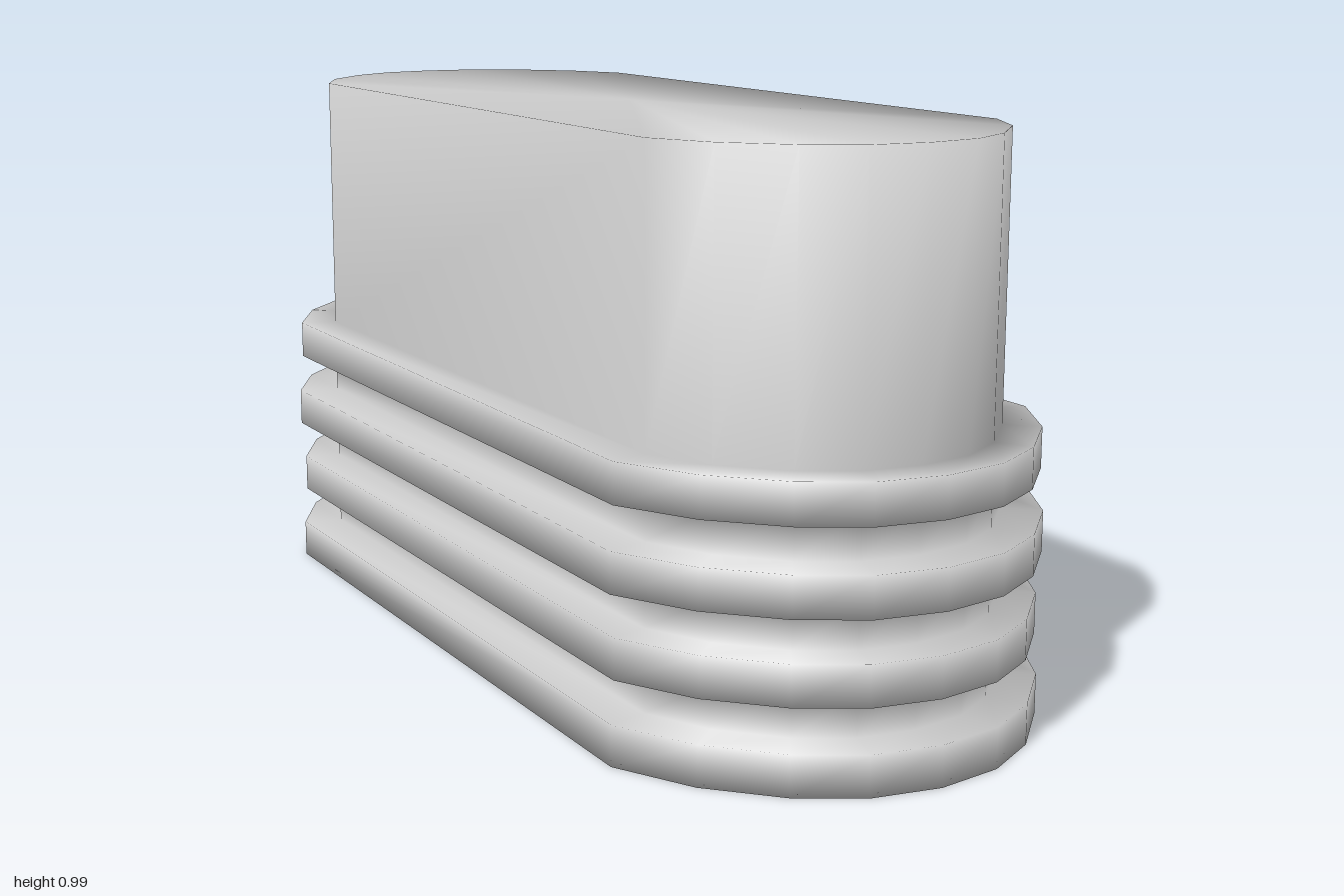
import * as THREE from 'three';

// Quarter outlines (x, z) from the straight side to the rounded tip
const CORE = [[0.336, 0.656], [0.28, 0.767], [0.19, 0.859], [0.101, 0.91], [0, 0.925]];
const RIB = [[0.409, 0.677], [0.333, 0.815], [0.229, 0.92], [0.122, 0.98], [0, 1]];

// Full oblong outline; t = 0 is the core, t = 1 the rib
function outline(t) {
  const quarter = CORE.map(([x, z], i) => [x + (RIB[i][0] - x) * t, z + (RIB[i][1] - z) * t]);
  const half = [...quarter, ...quarter.slice(0, -1).reverse().map(([x, z]) => [-x, z])];
  return [...half, ...half.map(([x, z]) => [-x, -z])];
}

// Closed loft through levels of [height, t], with shared vertices for smooth shading
function loft(levels) {
  const positions = [], index = [];
  const n = outline(0).length;
  for (const [y, t] of levels) {
    for (const [x, z] of outline(t)) positions.push(x, y, z);
  }
  const bottom = positions.length / 3, top = bottom + 1;
  const last = (levels.length - 1) * n;
  positions.push(0, levels[0][0], 0, 0, levels[levels.length - 1][0], 0);
  for (let i = 0; i < n; i++) {
    const k = (i + 1) % n;
    for (let row = 0; row < last; row += n) {
      const a = row + i, b = row + k;
      index.push(a, a + n, b, b, a + n, b + n);
    }
    index.push(bottom, i, k, top, last + k, last + i);
  }
  const geometry = new THREE.BufferGeometry();
  geometry.setAttribute('position', new THREE.Float32BufferAttribute(positions, 3));
  geometry.setIndex(index);
  geometry.computeVertexNormals();
  return geometry;
}

export function createModel() {
  const group = new THREE.Group();
  group.name = 'ribbedPlug';

  // Four sealing ribs of slightly varying reach, then the plain upper stem
  const levels = [];
  [0.98, 0.9, 1, 0.91].forEach((reach, i) => {
    const y = i * 0.1423;
    if (i > 0) levels.push([y, 0]);
    levels.push([y, reach], [y + 0.07, reach], [y + 0.07, 0]);
  });
  levels.push([0.99, 0]);

  const body = new THREE.Mesh(loft(levels), new THREE.MeshStandardMaterial({ color: 0xcccccc }));
  body.name = 'ribbedBody';
  group.add(body);
  return group;
}
